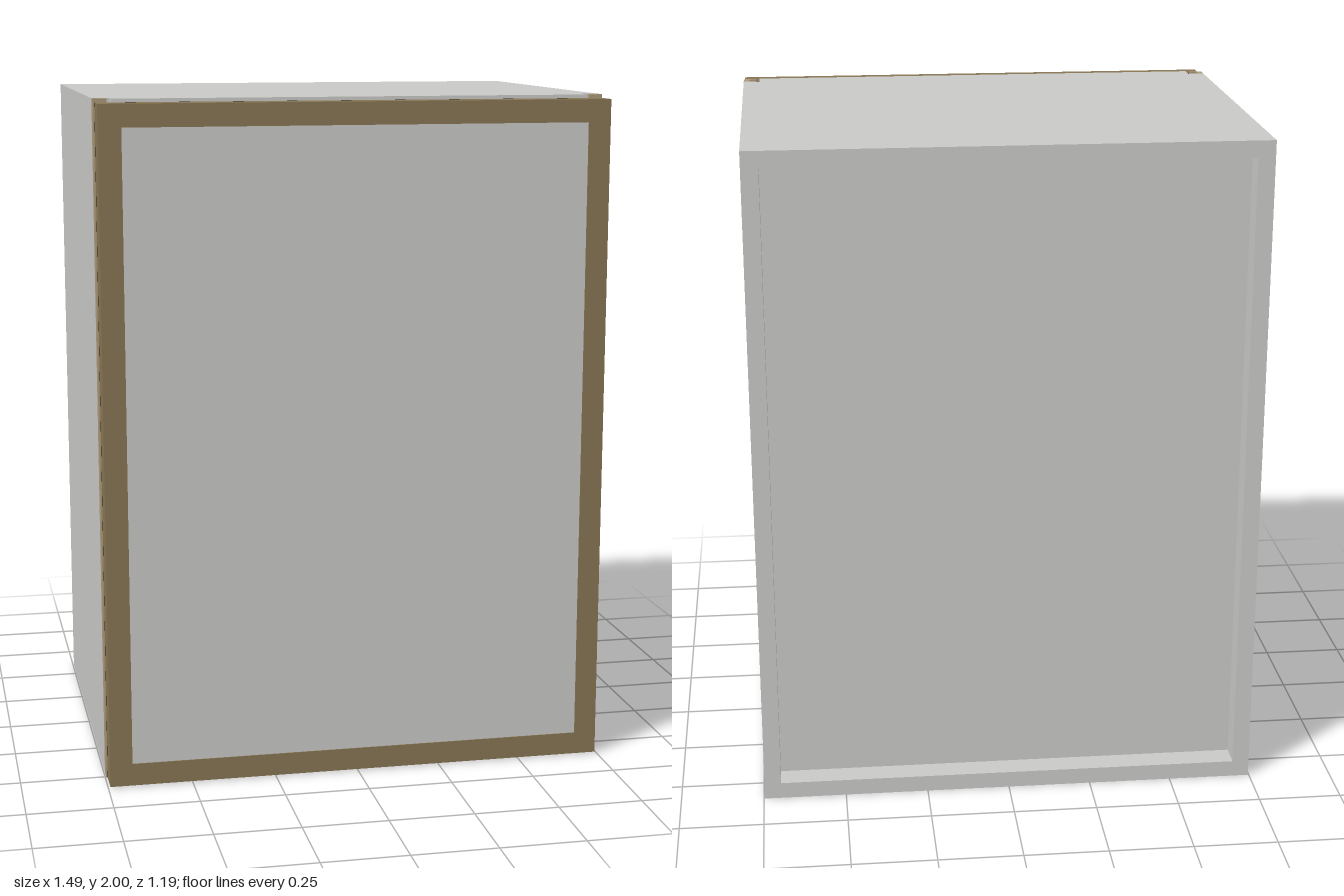
import * as THREE from 'three';

const mat = (name, color) => {
  const m = new THREE.MeshStandardMaterial({ color });
  m.name = name;
  return m;
};

export function createModel() {
  const grey = mat('light grey board', 0xc8c8c6);
  const brown = mat('brown frame', 0x877553);
  const tan = mat('tan profile', 0xaa9879);
  const black = mat('black seal', 0x1c1c1c);
  const model = new THREE.Group();
  model.name = 'cabinet';

  // Box given by its lower and upper corners
  const box = (name, material, a, b, parent) => {
    const g = new THREE.BoxGeometry(b[0] - a[0], b[1] - a[1], b[2] - a[2]);
    g.translate((a[0] + b[0]) / 2, (a[1] + b[1]) / 2, (a[2] + b[2]) / 2);
    const mesh = new THREE.Mesh(g, material);
    mesh.name = name;
    parent.add(mesh);
  };

  const W = 0.747, T = 0.05, IN = W - T, BACK = -0.597;

  // Carcass: the sides stop short of the front edge of the top and bottom
  const carcass = new THREE.Group();
  carcass.name = 'carcass';
  model.add(carcass);
  box('leftSide', grey, [IN, 0, BACK], [W, 2, 0.463], carcass);
  box('rightSide', grey, [-W, 0, BACK], [-IN, 2, 0.463], carcass);
  box('topBoard', grey, [-IN, 2 - T, BACK], [IN, 2, 0.512], carcass);
  box('bottomBoard', grey, [-IN, 0, BACK], [IN, T, 0.512], carcass);
  box('backPanel', grey, [-IN, T, -0.522], [IN, 2 - T, -0.505], carcass);

  // L-shaped upright profiles in the two front corners
  const ell = [[0.708, 0.505], [W, 0.505], [W, 0.467], [0.729, 0.467], [0.729, 0.494], [0.708, 0.494]];
  for (const s of [1, -1]) {
    const shape = new THREE.Shape(ell.map(([x, z]) => new THREE.Vector2(s * x, -z)));
    const g = new THREE.ExtrudeGeometry(shape, { depth: 2, bevelEnabled: false });
    g.rotateX(-Math.PI / 2);
    const profile = new THREE.Mesh(g, tan);
    profile.name = s > 0 ? 'leftCornerProfile' : 'rightCornerProfile';
    model.add(profile);
  }

  // Door: framed panel with a thin seal behind
  const door = new THREE.Group();
  door.name = 'door';
  model.add(door);
  const D = 0.744, y0 = 0.004, y1 = 1.99, F = 0.066, z0 = 0.523, z1 = 0.597;
  const frame = new THREE.Shape([[-D, y0], [D, y0], [D, y1], [-D, y1]].map(p => new THREE.Vector2(...p)));
  frame.holes.push(new THREE.Path([[-D + F, y0 + F], [-D + F, y1 - F], [D - F, y1 - F], [D - F, y0 + F]].map(p => new THREE.Vector2(...p))));
  const fg = new THREE.ExtrudeGeometry(frame, { depth: z1 - z0, bevelEnabled: false });
  fg.translate(0, 0, z0);
  const frameMesh = new THREE.Mesh(fg, brown);
  frameMesh.name = 'doorFrame';
  door.add(frameMesh);
  box('doorPanel', grey, [-D + F, y0 + F, z0], [D - F, y1 - F, z1 - 0.003], door);

  // Seal strips around the back of the door
  box('topSeal', black, [-D, y1 - F, 0.517], [D, y1, z0], door);
  box('bottomSeal', black, [-D, y0, 0.517], [D, y0 + F, z0], door);
  for (const s of [1, -1]) {
    const c = s * (D - F / 2);
    box(s > 0 ? 'leftSeal' : 'rightSeal', black, [c - F / 2, y0 + F, 0.517], [c + F / 2, y1 - F, z0], door);
  }
  return model;
}
